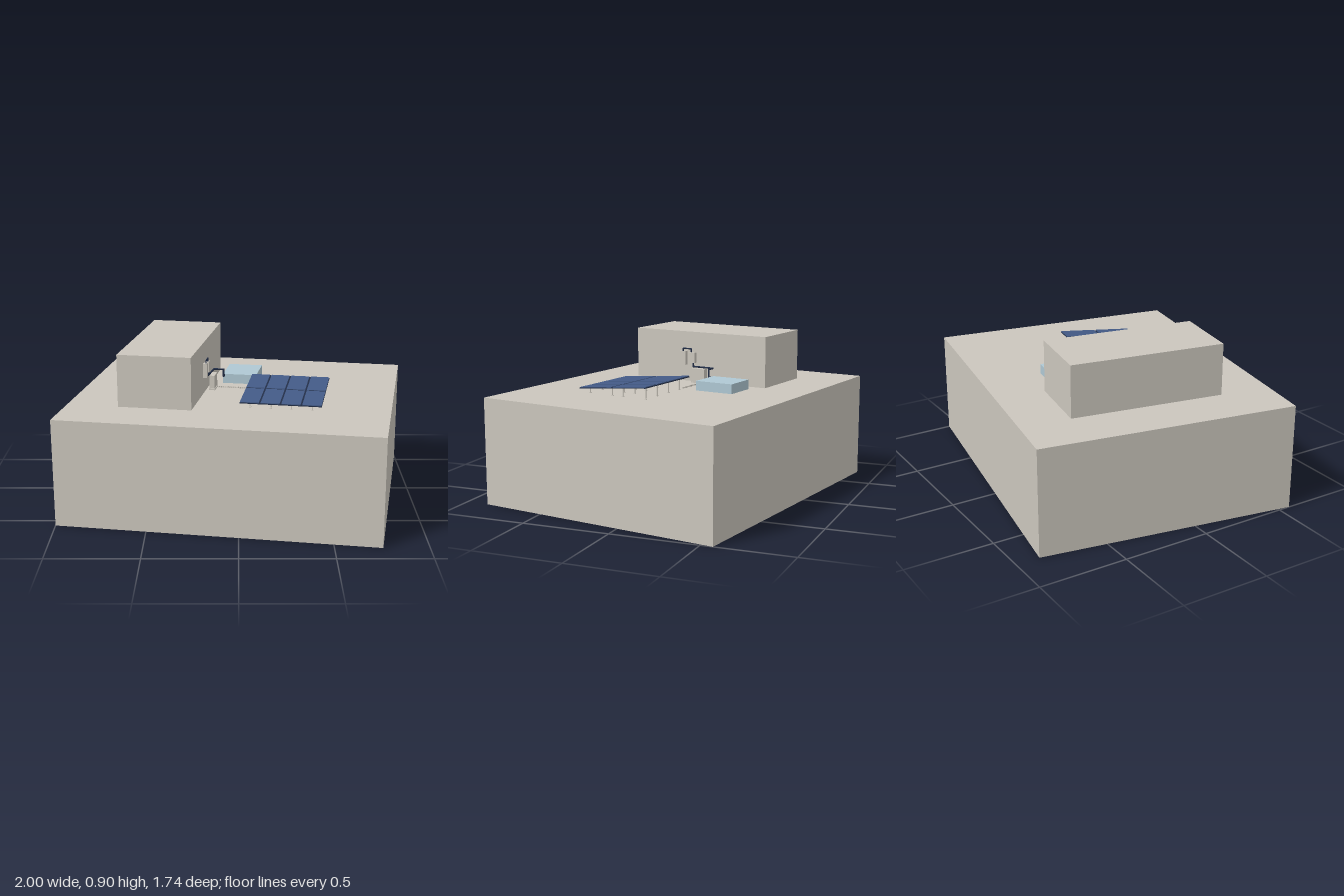
import * as THREE from 'three';

const mat = (name, color, side = THREE.FrontSide) => {
  const m = new THREE.MeshStandardMaterial({ color, side });
  m.name = name;
  return m;
};

export function createModel() {
  const stone = mat('warm grey', 0xcbc6bd);
  const glass = mat('pale blue', 0xafc8d3, THREE.DoubleSide);
  const cell = mat('panel blue', 0x435a86);
  const dark = mat('dark navy', 0x222e48);

  const root = new THREE.Group();
  root.name = 'rooftopSolarBuilding';
  root.rotation.y = -0.1693;
  const roof = 0.605;

  const add = (parent, name, geo, material, x = 0, y = 0, z = 0) => {
    const m = new THREE.Mesh(geo, material);
    m.name = name;
    m.position.set(x, y, z);
    parent.add(m);
    return m;
  };
  // box standing on height y
  const box = (parent, name, material, w, h, d, x, y, z) =>
    add(parent, name, new THREE.BoxGeometry(w, h, d), material, x, y + h / 2, z);
  const rect = (path, x0, y0, x1, y1) =>
    path.moveTo(x0, y0).lineTo(x1, y0).lineTo(x1, y1).lineTo(x0, y1).closePath();

  // Main block with a shaft running through it below the skylight
  const sky = { x: -0.018, z: -0.256, w: 0.2, d: 0.234 };
  const plan = new THREE.Shape();
  rect(plan, -0.89, -0.728, 0.89, 0.728);
  const shaft = new THREE.Path();
  rect(shaft, sky.x - sky.w / 2, -sky.z - sky.d / 2, sky.x + sky.w / 2, -sky.z + sky.d / 2);
  plan.holes.push(shaft);
  const blockGeo = new THREE.ExtrudeGeometry(plan, { depth: roof, bevelEnabled: false });
  blockGeo.rotateX(-Math.PI / 2);
  add(root, 'mainBlock', blockGeo, stone);

  // Skylight: walls line the shaft, open at the bottom
  const skylight = new THREE.Group();
  skylight.name = 'skylight';
  skylight.position.set(sky.x, 0, sky.z);
  root.add(skylight);
  const top = 0.66, w = sky.w - 0.002, d = sky.d - 0.002;
  for (let i = 0; i < 4; i++) {
    const wall = add(skylight, 'skylightWall', new THREE.PlaneGeometry(i % 2 ? d : w, top - 0.005), glass);
    const a = i * Math.PI / 2, r = (i % 2 ? w : d) / 2;
    wall.rotation.y = a;
    wall.position.set(Math.sin(a) * r, (top + 0.005) / 2, Math.cos(a) * r);
  }
  const lid = new THREE.PlaneGeometry(w, d);
  lid.rotateX(-Math.PI / 2);
  add(skylight, 'skylightTop', lid, glass, 0, top, 0);

  // Upper block on the roof
  box(root, 'upperBlock', stone, 0.413, 0.295, 0.875, -0.393, roof, -0.003);

  // Tilted solar array, four columns by two rows
  const array = new THREE.Group();
  array.name = 'solarArray';
  const ax = 0.2915, az = 0.133, ay = 0.658, tilt = 0.09;
  array.position.set(ax, ay, az);
  array.rotation.x = tilt;
  root.add(array);
  box(array, 'arrayFrame', dark, 0.451, 0.005, 0.443, 0, -0.004, 0);
  for (let c = 0; c < 4; c++) {
    for (let r = 0; r < 2; r++) {
      box(array, 'solarPanel', cell, 0.105, 0.004, 0.213,
        (c - 1.5) * 0.1145, 0.001, (r - 0.5) * 0.227);
    }
  }

  // Thin support legs
  for (let c = 0; c < 4; c++) {
    for (const z of [-0.186, -0.035, 0.035, 0.186]) {
      const h = ay - z * Math.tan(tilt) - roof - 0.002;
      const x = ax + (c - 1.5) * 0.1145;
      box(root, 'arrayLeg', stone, 0.005, h, 0.005, x, roof, az + z);
      box(root, 'legFoot', stone, 0.011, 0.003, 0.011, x, roof, az + z);
    }
  }

  // Equipment cabinets beside the upper block
  box(root, 'wallCabinetFront', stone, 0.022, 0.082, 0.038, -0.173, 0.702, 0.1);
  box(root, 'wallCabinetBack', stone, 0.022, 0.062, 0.04, -0.173, 0.718, 0.036);
  box(root, 'floorCabinet', stone, 0.03, 0.078, 0.085, -0.152, 0.612, -0.022);
  box(root, 'cabinetPlinth', stone, 0.036, 0.008, 0.095, -0.152, roof, -0.022);

  // Conduits with square corners
  const pipe = (name, pts, r) => {
    const path = new THREE.CurvePath();
    const v = pts.map(p => new THREE.Vector3(...p));
    const group = new THREE.Group();
    group.name = name;
    root.add(group);
    for (let i = 1; i < v.length; i++) {
      const line = new THREE.LineCurve3(v[i - 1], v[i]);
      path.add(line);
      add(group, 'conduitRun', new THREE.TubeGeometry(line, 1, r, 8), dark);
      add(group, 'conduitJoint', new THREE.SphereGeometry(r * 1.1, 8, 6), dark, ...v[i].toArray());
    }
  };
  pipe('upperConduit', [[-0.17, 0.78, 0.1], [-0.17, 0.8, 0.1], [-0.17, 0.8, 0.045], [-0.17, 0.775, 0.045]], 0.004);
  pipe('lowerConduit', [[-0.17, 0.72, 0.03], [-0.17, 0.696, 0.03], [-0.165, 0.696, -0.106],
    [-0.108, 0.696, -0.112], [-0.108, 0.653, -0.112], [-0.108, 0.653, -0.142]], 0.005);

  // Segmented cable tray from the cabinet to the array
  for (let i = 0; i < 17; i++) {
    box(root, 'cableTraySegment', stone, 0.008, 0.008, 0.008, -0.135 + i * 0.0125, roof, -0.044);
  }

  const model = new THREE.Group();
  model.name = 'model';
  model.add(root);
  return model;
}
